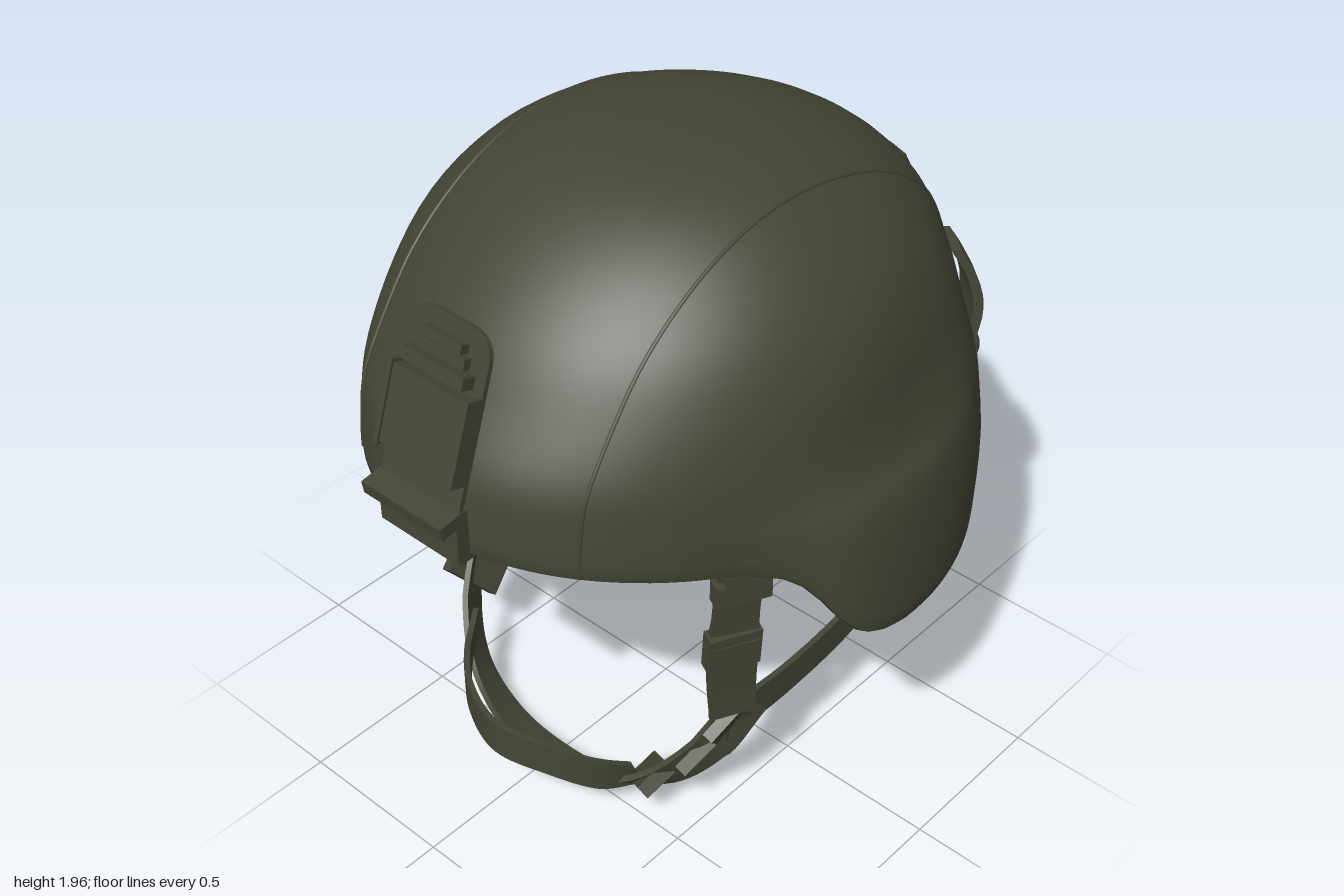
import * as THREE from 'three';
import { mergeVertices, toCreasedNormals } from 'three/addons/utils/BufferGeometryUtils.js';

const V = (x, y, z) => new THREE.Vector3(x, y, z);
const olive = new THREE.MeshStandardMaterial({ color: 0x454536 });
olive.name = 'olive drab';

// Dome profile: height, half width at the ears, at the front, front reach, back reach, half width at the rear
const PROFILE = [
  [0.70, 0.88, 0.76, 0.93, 0.95, 0.87], [0.80, 0.88, 0.76, 0.93, 0.957, 0.875], [0.98, 0.868, 0.76, 0.93, 0.968, 0.87],
  [1.16, 0.84, 0.765, 0.922, 0.94, 0.85], [1.25, 0.79, 0.76, 0.915, 0.92, 0.83], [1.37, 0.755, 0.75, 0.89, 0.885, 0.79],
  [1.52, 0.725, 0.725, 0.795, 0.845, 0.735], [1.67, 0.66, 0.66, 0.685, 0.77, 0.66], [1.80, 0.55, 0.55, 0.54, 0.625, 0.55],
  [1.89, 0.42, 0.42, 0.39, 0.445, 0.42], [1.94, 0.28, 0.28, 0.25, 0.29, 0.28],
  [1.96, 0.14, 0.14, 0.125, 0.145, 0.14], [1.966, 0, 0, 0, 0, 0],
];
const spline = (a, b) => new THREE.CatmullRomCurve3(PROFILE.map(p => V(p[a], p[0], p[b])), false, 'catmullrom');
const widths = spline(1, 2), depths = spline(3, 4), rearWidths = spline(5, 5);
const smooth = THREE.MathUtils.smoothstep, mix = THREE.MathUtils.lerp;

// Rim height by depth
const RIM = [[-1, 0.75], [-0.8, 0.73], [-0.4, 0.745], [0, 0.762], [0.1, 0.782], [0.16, 0.812], [0.21, 0.86],
  [0.25, 0.925], [0.29, 0.995], [0.34, 1.045], [0.44, 1.083], [0.7, 1.12], [0.95, 1.15]];
function rimAt(z) {
  const i = Math.max(1, RIM.findIndex(r => r[0] >= z));
  const [a, b] = [RIM[i - 1], RIM[i]];
  return mix(a[1], b[1], (z - a[0]) / (b[0] - a[0]));
}
function uAt(y) {
  let lo = 0, hi = 1;
  for (let i = 0; i < 24; i++) {
    const m = (lo + hi) / 2;
    if (widths.getPoint(m).y < y) lo = m; else hi = m;
  }
  return lo;
}
// Half width: the ear flare fades out towards the front and the rear
function halfWidth(u, z) {
  const w = widths.getPoint(u);
  if (z > 0) return mix(w.x, w.z, smooth(z, 0.15, 0.5));
  return mix(w.x, rearWidths.getPoint(u).x, smooth(-z, 0.1, 0.5));
}
function reach(u, z) {
  const d = depths.getPoint(u);
  return z > 0 ? d.x : d.z;
}
// Where a ray from inside leaves the dome
function project(origin, dir, lift = 0) {
  let lo = 0, hi = 1.6;
  for (let i = 0; i < 24; i++) {
    const m = (lo + hi) / 2, p = origin.clone().addScaledVector(dir, m), u = uAt(p.y);
    const inside = p.y < 1.966 && (p.x / halfWidth(u, p.z)) ** 2 + (p.z / reach(u, p.z)) ** 2 < 1;
    if (inside) lo = m; else hi = m;
  }
  return origin.clone().addScaledVector(dir, lo + lift);
}

// Skin over a row of closed rings
function loft(rings, capped) {
  const n = rings[0].length, last = (rings.length - 1) * n, index = [];
  for (let i = 0; i < rings.length - 1; i++) for (let j = 0; j < n; j++) {
    const a = i * n + j, b = i * n + (j + 1) % n;
    index.push(a, b, a + n, b, b + n, a + n);
  }
  if (capped) for (let j = 0; j < n / 2 - 1; j++) {
    const q = [j, j + 1, n - 2 - j, n - 1 - j];
    index.push(q[0], q[2], q[1], q[0], q[3], q[2]);
    index.push(last + q[0], last + q[1], last + q[2], last + q[0], last + q[2], last + q[3]);
  }
  const g = new THREE.BufferGeometry();
  g.setAttribute('position', new THREE.Float32BufferAttribute(rings.flat().flatMap(p => p.toArray()), 3));
  g.setIndex(index);
  return g;
}
// Webbing: points are [x, y, z, half-width vector]
function ribbon(points, t = 0.009, steps = 28) {
  const path = new THREE.CatmullRomCurve3(points.map(p => V(p[0], p[1], p[2])));
  const side = new THREE.CatmullRomCurve3(points.map(p => V(p[3], p[4], p[5])));
  const rings = [];
  for (let i = 0; i <= steps; i++) {
    const p = path.getPoint(i / steps), w = side.getPoint(i / steps);
    const n = path.getTangent(i / steps).cross(w).normalize().multiplyScalar(t);
    rings.push([[1, 1], [-1, 1], [-1, -1], [1, -1]].map(([a, b]) =>
      p.clone().addScaledVector(w, a).addScaledVector(n, b)));
  }
  return toCreasedNormals(loft(rings, true), 0.7);
}
const flip = (p, m) => [p[0] * m, p[1], p[2], p[3] * m, p[4], p[5]];

// Cloth patch hugging the dome; lift(s) is its stand-off from bottom to top
function patch(cx, cz, dir, y0, y1, w0, w1, lift) {
  const t = V(0, 1, 0).cross(dir), rings = [], rows = 12, cols = 8;
  for (let i = 0; i <= rows; i++) {
    const s = i / rows, w = mix(w0, w1, s), outer = [], inner = [];
    for (let j = 0; j <= cols; j++) {
      const o = V(cx, mix(y0, y1, s), cz).addScaledVector(t, w * (2 * j / cols - 1));
      outer.push(project(o, dir, lift(s)));
      inner.unshift(project(o, dir, lift(s) - 0.03));
    }
    rings.push([...outer, ...inner]);
  }
  return toCreasedNormals(loft(rings, true), 0.7);
}

export function createModel() {
  const model = new THREE.Group();
  model.name = 'combatHelmet';
  const add = (name, geo, parent = model) => {
    const m = new THREE.Mesh(geo, olive);
    m.name = name;
    parent.add(m);
    return m;
  };
  const box = (name, w, h, d, x, y, z, rx = 0, ry = 0, rz = 0, parent = model) => {
    const m = add(name, new THREE.BoxGeometry(w, h, d), parent);
    m.position.set(x, y, z);
    m.rotation.set(rx, ry, rz);
  };

  // Shell: outside from crown to rim, rolled lip, inside back to the crown
  const N = 128, ROWS = 36, columns = [];
  for (let j = 0; j < N; j++) {
    const a = j / N * Math.PI * 2, c = Math.cos(a), s = Math.sin(a);
    const rim = rimAt(s * (s > 0 ? 0.925 : 0.955)), u0 = uAt(rim);
    const at = (k, scale, dy) => {
      const u = mix(u0, 1, k), z = reach(u, s) * s, y = widths.getPoint(u).y;
      return V(halfWidth(u, z) * c * scale, rim + (y - rim) * scale + dy, z * scale);
    };
    const pts = [];
    for (let i = ROWS; i >= 0; i--) pts.push(at(i / ROWS, 1, 0));
    pts.push(at(0, 0.985, -0.012), at(0, 0.95, -0.012));
    for (let i = 0; i <= ROWS; i++) pts.push(at(i / ROWS, 0.932, 0));
    columns.push(pts);
  }
  const shell = mergeVertices(loft(columns[0].map((_, i) => columns.map(p => p[i])), false), 1e-4);
  shell.computeVertexNormals();
  add('shell', shell);

  // Cover seams running front to back
  for (const m of [1, -1]) {
    const pts = [];
    for (let i = 0; i <= 48; i++) {
      const a = 0.04 + i / 48 * (Math.PI + 0.34);
      pts.push(project(V(0.41 * m, 1.1, 0), V(0, Math.sin(a), Math.cos(a)), -0.002));
    }
    add('coverSeam', new THREE.TubeGeometry(new THREE.CatmullRomCurve3(pts), 110, 0.006, 6));
  }

  // Rear panel and the two side loops with snaps
  add('rearPanel', patch(0, 0, V(0, 0, -1), 0.98, 1.64, 0.3, 0.235, s => 0.026 - 0.008 * s));
  for (const m of [1, -1]) {
    const dir = V(0.77 * m, 0, -0.64).normalize();
    add('loopTab', patch(0.115 * m, -0.43, dir, 1.03, 1.47, 0.08, 0.065,
      s => 0.008 + 0.05 * Math.sin(Math.PI * Math.max(0, s - 0.35) / 0.75)));
    const snap = add('snap', new THREE.SphereGeometry(0.04, 20, 8, 0, Math.PI * 2, 0, Math.PI / 2));
    snap.position.copy(project(V(0.115 * m, 1.11, -0.43), dir, 0.006));
    snap.scale.y = 0.6;
    snap.quaternion.setFromUnitVectors(V(0, 1, 0), dir);
  }

  // Front accessory mount: tilted plate with clips, and a bracket hooked on the brim
  const mount = new THREE.Group();
  mount.name = 'frontMount';
  mount.position.set(0, 1.52, 0.845);
  mount.rotation.x = -0.33;
  model.add(mount);
  const sh = new THREE.Shape();
  sh.moveTo(-0.145, -0.25).lineTo(0.145, -0.25).lineTo(0.145, 0.15);
  sh.quadraticCurveTo(0.145, 0.235, 0.06, 0.235).lineTo(-0.06, 0.235);
  sh.quadraticCurveTo(-0.145, 0.235, -0.145, 0.15);
  const plate = add('mountPlate', new THREE.ExtrudeGeometry(sh, { depth: 0.014, bevelEnabled: false }), mount);
  plate.position.z = -0.007;
  box('mountSlab', 0.27, 0.22, 0.045, 0, -0.05, 0.025, 0, 0, 0, mount);
  box('mountClip', 0.22, 0.035, 0.05, 0, 0.1, 0.025, 0, 0, 0, mount);
  box('mountLatch', 0.14, 0.025, 0.03, 0, 0.175, 0.02, 0, 0, 0, mount);
  box('mountLatchBase', 0.17, 0.03, 0.03, 0, 0.14, 0.015, 0, 0, 0, mount);
  for (const m of [1, -1]) box('mountRail', 0.015, 0.24, 0.06, 0.138 * m, -0.05, 0.025, 0, 0, 0, mount);
  box('bracket', 0.295, 0.15, 0.04, 0, 1.21, 0.925);
  box('bracketLip', 0.295, 0.04, 0.09, 0, 1.265, 0.952, 0.15);
  box('brimHook', 0.295, 0.02, 0.12, 0, 1.135, 0.885);

  // Harness on each side
  for (const m of [1, -1]) {
    const strap = (name, pts) => add(name, ribbon(pts.map(p => flip(p, m))));
    strap('frontStrap', [[0.61, 1.14, 0.37, -0.03, 0, 0.06], [0.585, 0.85, 0.365, -0.03, 0, 0.06],
      [0.56, 0.62, 0.355, -0.03, 0, 0.06], [0.53, 0.36, 0.31, -0.02, 0, 0.06]]);
    strap('strapEnd', [[0.59, 0.74, 0.37, -0.03, 0, 0.06], [0.58, 0.6, 0.365, -0.03, 0, 0.06],
      [0.575, 0.46, 0.36, -0.03, 0, 0.06]]);
    strap('rearStrap', [[0.52, 0.35, 0.33, 0, 0.06, 0], [0.53, 0.355, 0.05, 0, 0.053, 0],
      [0.52, 0.38, -0.25, 0, 0.052, 0.01], [0.5, 0.44, -0.44, 0, 0.04, 0.04],
      [0.47, 0.58, -0.54, 0, 0.02, 0.06], [0.45, 0.8, -0.62, 0, 0.02, 0.06]]);
    box('upperBuckle', 0.05, 0.07, 0.16, 0.605 * m, 0.95, 0.37, 0, -0.45 * m, 0);
    box('anchorTab', 0.05, 0.14, 0.12, 0.62 * m, 1.04, 0.37, 0, -0.45 * m, 0);
    box('slideBuckle', 0.05, 0.13, 0.155, 0.57 * m, 0.71, 0.36, 0, -0.45 * m, -0.1 * m);
    box('junction', 0.035, 0.2, 0.12, 0.515 * m, 0.34, 0.31, 0.65, -0.2 * m, -0.35 * m);
    box('rearBuckle', 0.05, 0.28, 0.12, 0.47 * m, 0.6, -0.58, -0.35, -0.3 * m, 0);
    box('rearBuckleClip', 0.08, 0.16, 0.08, 0.475 * m, 0.62, -0.57, -0.35, -0.3 * m, 0);
    box('innerTab', 0.14, 0.05, 0.02, 0.5 * m, 0.84, -0.3, 0, -0.8 * m, 0.25 * m);
  }

  // Strap under the chin, mirrored about its lowest point
  const chin = [[0.55, 0.41, 0.25, -0.02, 0.045, 0.045], [0.49, 0.26, 0.36, -0.02, 0.045, 0.045],
    [0.37, 0.125, 0.45, -0.02, 0.035, 0.05], [0.2, 0.048, 0.5, -0.01, 0.025, 0.055]];
  add('chinStrap', ribbon([...chin, [0, 0.032, 0.52, 0, 0.02, 0.058],
    ...chin.reverse().map(p => flip(p, -1))], 0.009, 56));

  // Strap in front of the chin, drooping to the release buckle on the left
  add('chinCup', ribbon([[0.31, 0.12, 0.47, 0, 0.05, 0.02], [0.26, 0.165, 0.58, 0, 0.055, 0],
    [0.15, 0.23, 0.68, 0, 0.056, 0], [0, 0.255, 0.73, 0, 0.058, 0], [-0.18, 0.245, 0.66, 0, 0.055, 0],
    [-0.33, 0.225, 0.53, 0, 0.05, 0], [-0.43, 0.22, 0.4, 0, 0.05, 0]], 0.009, 56));
  box('chinBuckle', 0.045, 0.15, 0.11, 0.35, 0.125, 0.45, 0.5, -0.2, -0.8);
  box('chinBuckleClip', 0.04, 0.1, 0.125, 0.46, 0.235, 0.385, 0.55, -0.2, -0.6);

  // Nape band curving round the back
  const nape = [];
  for (let i = 0; i <= 8; i++) {
    const a = Math.PI * i / 8, s = Math.sin(a);
    nape.push([0.49 * Math.cos(a), 0.64, -0.41 - 0.24 * s, 0, 0.13, -0.03 - 0.02 * s]);
  }
  add('napeBand', ribbon(nape, 0.016, 40));
  return model;
}
